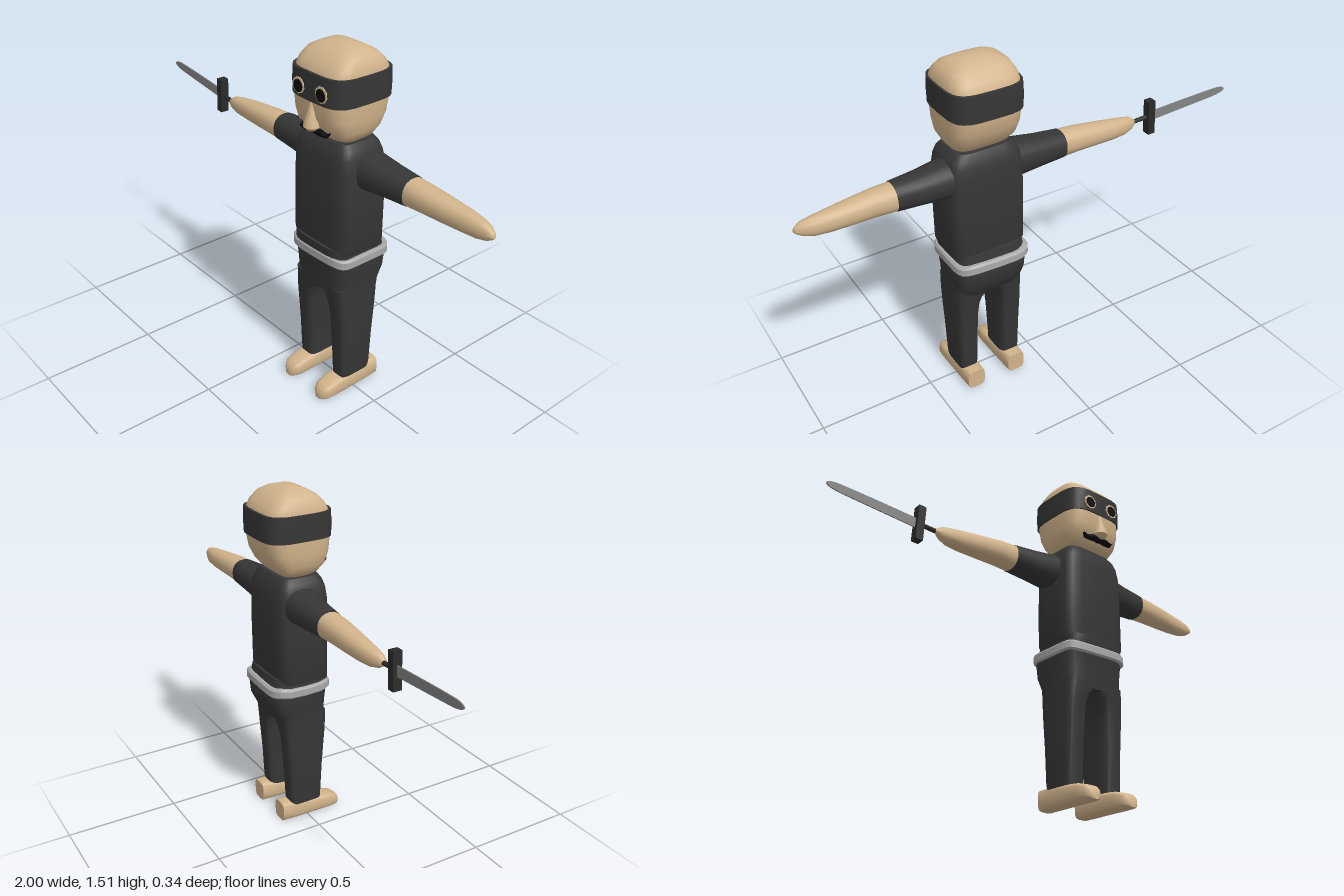
import * as THREE from 'three';
import { toCreasedNormals } from 'three/addons/utils/BufferGeometryUtils.js';

const mat = (name, color) => {
  const m = new THREE.MeshStandardMaterial({ color });
  m.name = name;
  return m;
};

// Right-handed ring axes for lofts along x, y and z: [along, u, v] component indices
const AXES = { x: [0, 1, 2], y: [1, 2, 0], z: [2, 0, 1] };

// Loft through superellipse rings; each row is [along, uMin, uMax, vMin, vMax]
function loft(axis, rows, { power = 4, seg = 28, wave = 0, crease = 0.75 } = {}) {
  const [iw, iu, iv] = AXES[axis];
  const list = rows[0][0] > rows[rows.length - 1][0] ? [...rows].reverse() : rows;
  const pos = [], idx = [];
  const put = (w, u, v) => {
    const p = [0, 0, 0];
    p[iw] = w; p[iu] = u; p[iv] = v;
    pos.push(...p);
  };
  const bend = (c) => Math.sign(c) * Math.pow(Math.abs(c), 2 / power);
  for (const [w, u0, u1, v0, v1] of list) {
    for (let i = 0; i < seg; i++) {
      const t = (i / seg) * Math.PI * 2;
      put(w + wave * Math.sin(5 * t),
        (u0 + u1) / 2 + bend(Math.cos(t)) * (u1 - u0) / 2,
        (v0 + v1) / 2 + bend(Math.sin(t)) * (v1 - v0) / 2);
    }
  }
  const n = list.length;
  for (let r = 0; r < n - 1; r++) {
    for (let i = 0; i < seg; i++) {
      const a = r * seg + i, b = r * seg + (i + 1) % seg;
      idx.push(a, b, b + seg, a, b + seg, a + seg);
    }
  }
  // End caps
  for (const r of [0, n - 1]) {
    const [w, u0, u1, v0, v1] = list[r];
    const c = pos.length / 3;
    put(w, (u0 + u1) / 2, (v0 + v1) / 2);
    for (let i = 0; i < seg; i++) {
      const a = r * seg + i, b = r * seg + (i + 1) % seg;
      if (r === 0) idx.push(c, b, a); else idx.push(c, a, b);
    }
  }
  const g = new THREE.BufferGeometry();
  g.setAttribute('position', new THREE.Float32BufferAttribute(pos, 3));
  g.setIndex(idx);
  return toCreasedNormals(g, crease);
}

// Rows for a body part centred on x: [y, half width, back z, front z]
const bodyRows = (rows) => rows.map(([y, h, z0, z1]) => [y, z0, z1, -h, h]);

export function createModel() {
  const skin = mat('skin', 0xd2b48c);
  const cloth = mat('dark cloth', 0x363636);
  const rope = mat('belt grey', 0xa8a8a8);
  const steel = mat('blade steel', 0x848484);
  const grip = mat('hilt', 0x2b2b2b);
  const black = mat('black', 0x0a0a0a);

  const model = new THREE.Group();
  model.name = 'maskedFigure';
  const body = new THREE.Group();
  body.name = 'body';
  body.position.x = 0.237;
  model.add(body);
  const add = (name, geo, material, parent = body) => {
    const m = new THREE.Mesh(geo, material);
    m.name = name;
    parent.add(m);
    return m;
  };

  // Head and mask band
  add('head', loft('y', bodyRows([
    [1.14, 0.09, -0.06, 0.04], [1.165, 0.122, -0.095, 0.085], [1.2, 0.14, -0.125, 0.117],
    [1.25, 0.147, -0.15, 0.133], [1.31, 0.15, -0.161, 0.138], [1.37, 0.15, -0.163, 0.139],
    [1.42, 0.148, -0.156, 0.132], [1.45, 0.142, -0.14, 0.115], [1.48, 0.125, -0.11, 0.085],
    [1.5, 0.09, -0.075, 0.05], [1.512, 0.04, -0.035, 0.01]])), skin);
  add('mask', loft('y', bodyRows([
    [1.312, 0.156, -0.168, 0.143], [1.37, 0.157, -0.17, 0.144], [1.422, 0.155, -0.167, 0.142]])), cloth);

  // Face
  for (const s of [-1, 1]) {
    const eye = add('eyeHole', new THREE.CylinderGeometry(0.033, 0.033, 0.004, 9), skin);
    eye.rotation.x = Math.PI / 2;
    eye.position.set(s * 0.064, 1.357, 0.1445);
    const pupil = add('pupil', new THREE.CylinderGeometry(0.025, 0.025, 0.004, 16), black);
    pupil.rotation.x = Math.PI / 2;
    pupil.position.set(s * 0.064, 1.355, 0.147);
  }
  add('nose', loft('y', bodyRows([
    [1.197, 0.022, 0.1, 0.152], [1.212, 0.034, 0.1, 0.167], [1.235, 0.028, 0.1, 0.164],
    [1.27, 0.017, 0.11, 0.151], [1.31, 0.008, 0.12, 0.139]]), { power: 2, seg: 14 }), skin);
  const whisker = [[0.084, 1.204, 0.003], [0.07, 1.19, 0.008], [0.04, 1.194, 0.014], [0.015, 1.196, 0.013]];
  const moustache = [...whisker.map(([x, y, r]) => [-x, y, r]), [0, 1.19, 0.009], ...[...whisker].reverse()];
  add('moustache', loft('x', moustache.map(([x, y, r]) => [x, y - r, y + r, 0.105, 0.125 + r]),
    { power: 2, seg: 10 }), black);

  // Torso, hips and belt
  add('torso', loft('y', bodyRows([
    [0.69, 0.158, -0.127, 0.107], [0.71, 0.165, -0.132, 0.11], [0.9, 0.166, -0.132, 0.11],
    [1.05, 0.163, -0.13, 0.11], [1.1, 0.155, -0.122, 0.104], [1.13, 0.143, -0.111, 0.094],
    [1.152, 0.122, -0.096, 0.08]]), { power: 5 }), cloth);
  add('hips', loft('y', bodyRows([
    [0.488, 0.151, -0.112, 0.099], [0.52, 0.152, -0.132, 0.101], [0.57, 0.155, -0.156, 0.105],
    [0.63, 0.16, -0.16, 0.11], [0.68, 0.155, -0.148, 0.12], [0.712, 0.15, -0.143, 0.121]]),
  { power: 4.5 }), cloth);
  add('belt', loft('y', bodyRows([
    [0.634, 0.166, -0.163, 0.118], [0.64, 0.171, -0.169, 0.123],
    [0.668, 0.171, -0.168, 0.123], [0.676, 0.165, -0.16, 0.118]]),
  { power: 4.5, wave: 0.003, crease: 0.35 }), rope);

  // Limbs, mirrored; rows run outward from the body centre
  for (const s of [-1, 1]) {
    const side = s > 0 ? 'left' : 'right';
    // [x, bottom, top, back, front]
    const arm = (rows) => loft('x', rows.map(([x, ...r]) => [s * x, ...r]), { power: 2.3, seg: 20 });
    add(side + 'Sleeve', arm([
      [0.1, 0.96, 1.118, -0.11, 0.05], [0.17, 0.964, 1.113, -0.108, 0.05],
      [0.27, 0.972, 1.1, -0.1, 0.036], [0.374, 0.977, 1.092, -0.092, 0.025]]), cloth);
    add(side + 'ForearmAndHand', arm([
      [0.374, 0.979, 1.09, -0.09, 0.023], [0.45, 0.982, 1.086, -0.088, 0.02],
      [0.55, 0.982, 1.076, -0.085, 0.011], [0.63, 0.982, 1.068, -0.08, 0.001],
      [0.69, 0.984, 1.06, -0.071, -0.006], [0.73, 0.994, 1.051, -0.058, -0.013],
      [0.753, 1.008, 1.034, -0.044, -0.021], [0.759, 1.015, 1.026, -0.037, -0.025]]), skin);

    // [y, back, front, inner x, outer x]
    const leg = [
      [0.075, -0.083, 0.07, 0.06, 0.143], [0.1, -0.086, 0.071, 0.06, 0.146],
      [0.25, -0.092, 0.078, 0.056, 0.149], [0.38, -0.101, 0.088, 0.052, 0.152],
      [0.43, -0.105, 0.093, 0.045, 0.152], [0.465, -0.109, 0.096, 0.03, 0.152],
      [0.484, -0.112, 0.098, 0.008, 0.152], [0.52, -0.118, 0.1, 0, 0.152]];
    add(side + 'Leg', loft('y', leg.map(([y, b, f, i, o]) =>
      [y, b, f, Math.min(s * i, s * o), Math.max(s * i, s * o)]), { power: 4.5 }), cloth);

    // Foot: [z, half width, top]
    const foot = [[-0.128, 0.04, 0.09], [-0.06, 0.043, 0.09], [0.03, 0.044, 0.082],
      [0.1, 0.045, 0.073], [0.145, 0.041, 0.06], [0.163, 0.03, 0.046], [0.172, 0.016, 0.026]];
    add(side + 'Foot', loft('z', foot.map(([z, h, top]) =>
      [z, s * 0.1 - h, s * 0.1 + h, 0, top]), { power: 4, seg: 20 }), skin);
  }

  // Sword in the right hand
  const sword = new THREE.Group();
  sword.name = 'sword';
  sword.position.set(-0.595, 1.028, -0.041);
  sword.rotation.y = -0.037;
  model.add(sword);
  const outline = new THREE.Shape();
  outline.moveTo(0, -0.022);
  outline.lineTo(0, 0.022);
  outline.quadraticCurveTo(-0.25, 0.042, -0.36, 0.046);
  outline.quadraticCurveTo(-0.405, 0.044, -0.405, 0.031);
  outline.quadraticCurveTo(-0.4, 0.017, -0.34, 0.009);
  outline.lineTo(0, -0.022);
  const blade = new THREE.ExtrudeGeometry(outline, { depth: 0.005, bevelEnabled: false, curveSegments: 8 });
  blade.translate(0, 0, -0.0025);
  add('blade', blade, steel, sword);
  const guard = add('guard', new THREE.BoxGeometry(0.033, 0.155, 0.038), grip, sword);
  guard.rotation.z = -0.05;
  const handle = add('handle', new THREE.CylinderGeometry(0.01, 0.01, 0.14, 10), grip, sword);
  handle.rotation.z = Math.PI / 2 - 0.07;
  handle.position.set(0.07, -0.005, 0.003);

  return model;
}
